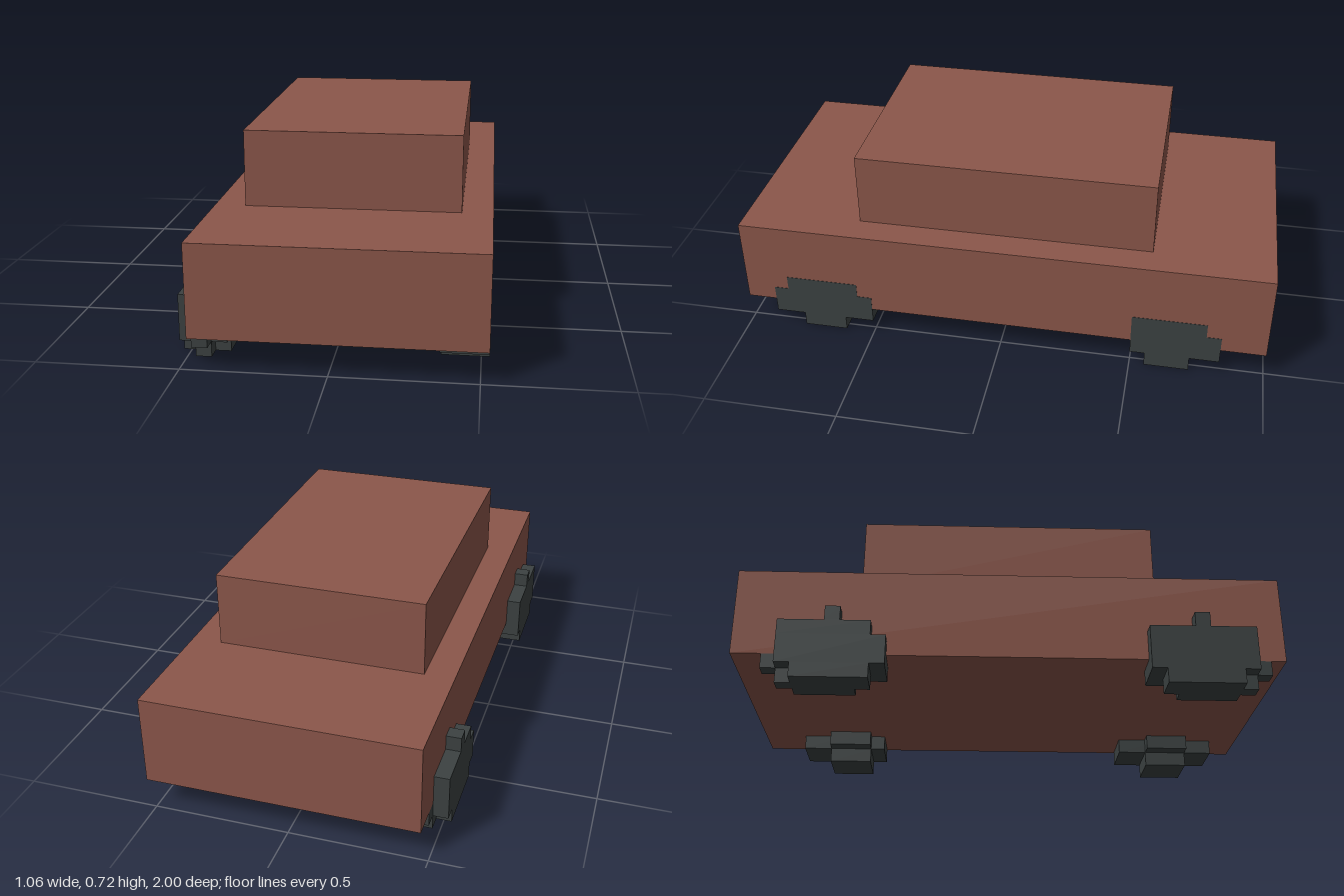
import * as THREE from 'three';

// One block of the building grid
const U = 1 / 18;

export function createModel() {
  const car = new THREE.Group();
  car.name = 'blockCar';

  const paint = new THREE.MeshStandardMaterial({ color: 0x8b564a });
  paint.name = 'brownPaint';
  const rubber = new THREE.MeshStandardMaterial({ color: 0x3c4242 });
  rubber.name = 'darkRubber';

  // Box given by its grid limits on each axis
  function block(name, parent, material, [x0, x1], [y0, y1], [z0, z1]) {
    const geo = new THREE.BoxGeometry((x1 - x0) * U, (y1 - y0) * U, (z1 - z0) * U);
    const mesh = new THREE.Mesh(geo, material);
    mesh.position.set((x0 + x1) / 2 * U, (y0 + y1) / 2 * U, (z0 + z1) / 2 * U);
    mesh.name = name;
    parent.add(mesh);
  }

  // Body and cabin
  block('body', car, paint, [-8.5, 9.5], [2, 8], [-18, 18]);
  block('cabin', car, paint, [-6.5, 7.5], [8, 13], [-10, 10]);

  // Stepped wheels: each row is [x range, y range, z range]
  const L = [6.5, 9.52]; // just proud of the flush body side
  const outer = [-9.5, -8.5], middle = [-8.5, -7.5], inner = [-7.5, -6.5];
  const wheels = {
    frontLeftWheel: [
      [L, [0, 1], [11, 14]], [L, [1, 3], [9, 16]],
      [L, [3, 4], [10, 15]], [[5.5, 6.5], [1, 2], [11, 14]],
    ],
    rearLeftWheel: [
      [L, [0, 1], [-13, -10]], [L, [1, 3], [-15, -9]],
      [L, [3, 4], [-14, -9]], [[5.5, 6.5], [1, 2], [-13, -10]],
    ],
    frontRightWheel: [
      [outer, [0, 1], [10, 15]], [outer, [1, 4], [9, 16]], [outer, [4, 5], [12, 13]],
      [middle, [0, 1], [10, 16]], [middle, [1, 2], [9, 17]],
      [inner, [0, 1], [11, 15]], [inner, [1, 2], [9, 16]],
    ],
    rearRightWheel: [
      [outer, [0, 1], [-14, -9]], [outer, [1, 3], [-15, -8]],
      [outer, [3, 4], [-15, -9]], [outer, [4, 5], [-12, -11]],
      [middle, [0, 1], [-15, -9]], [middle, [1, 2], [-16, -8]],
      [inner, [0, 1], [-14, -10]], [inner, [1, 2], [-15, -8]],
    ],
  };
  for (const [name, rows] of Object.entries(wheels)) {
    const wheel = new THREE.Group();
    wheel.name = name;
    rows.forEach(([x, y, z]) => block('wheelStep', wheel, rubber, x, y, z));
    car.add(wheel);
  }

  return car;
}
